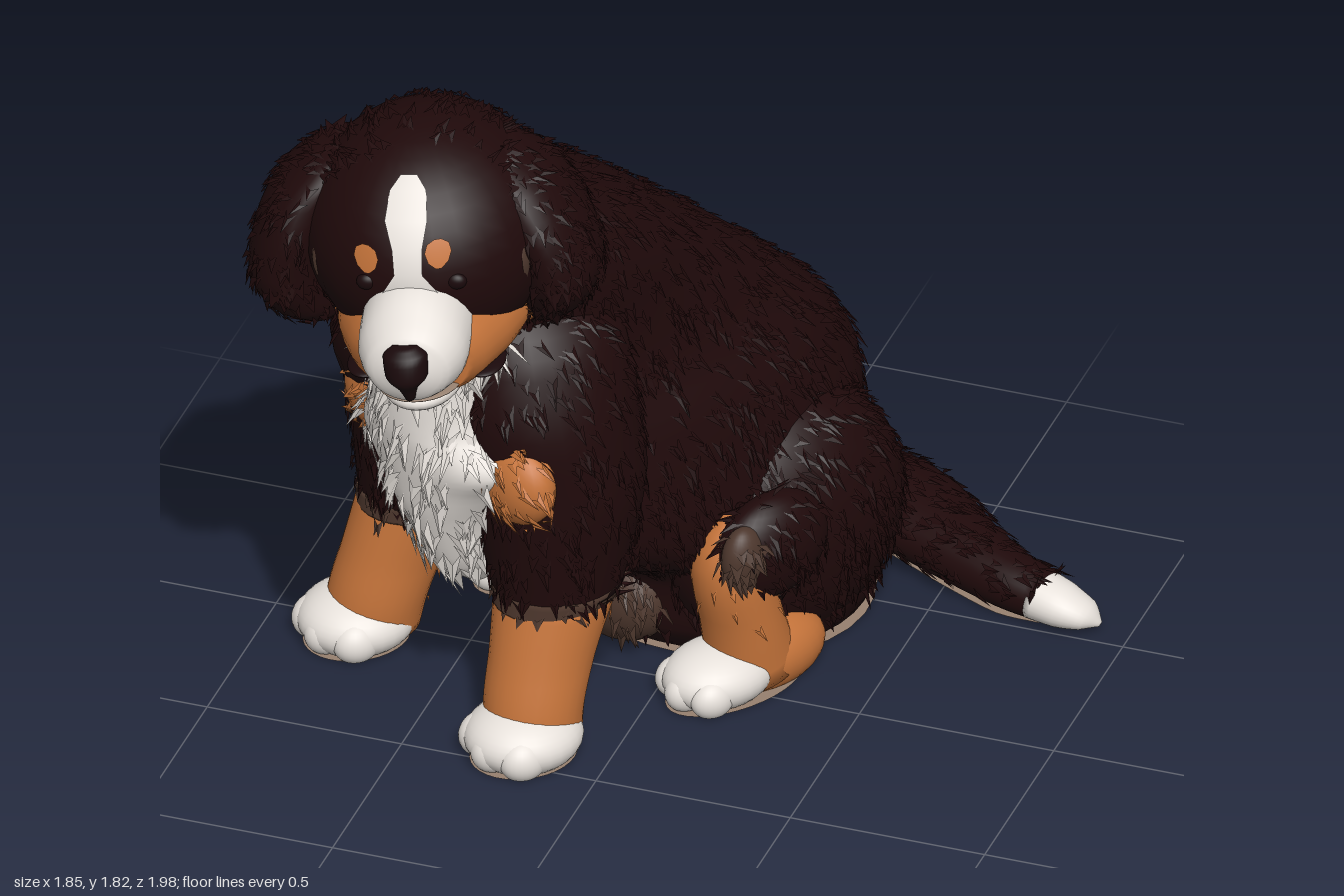
import * as THREE from 'three';

const mat = (name, color) => {
  const m = new THREE.MeshStandardMaterial({ color, side: THREE.DoubleSide });
  m.name = name;
  return m;
};
const DARK = mat('dark coat', 0x1f090a);
const TAN = mat('tan coat', 0xc4733a);
const WHITE = mat('white coat', 0xe8e2dc);
const BROWN = mat('brown undercoat', 0x4d372d);
const SOLE = mat('grey brown sole', 0x96806f);
const NOSE = mat('nose black', 0x1a090b);

let seed = 7;
const rnd = () => (seed = (seed * 16807) % 2147483647) / 2147483647;
const V = (x, y, z) => new THREE.Vector3(x, y, z);

function build(pos, idx) {
  const g = new THREE.BufferGeometry();
  g.setAttribute('position', new THREE.Float32BufferAttribute(pos, 3));
  if (idx) g.setIndex(idx);
  g.computeVertexNormals();
  return g;
}

// Smooth skin through rows of [x, y, z, sideRadius, otherRadius]
function loft(rows, side = V(1, 0, 0), level = false, n = 28) {
  const centre = new THREE.CatmullRomCurve3(rows.map(r => V(r[0], r[1], r[2])));
  const radii = new THREE.CatmullRomCurve3(rows.map(r => V(r[3], r[4], 0)));
  const steps = (rows.length - 1) * 4, pos = [], idx = [];
  for (let i = 0; i <= steps; i++) {
    const t = i / steps, c = centre.getPoint(t), r = radii.getPoint(t);
    const T = level ? V(0, 1, 0) : centre.getTangent(t);
    const S = side.clone().addScaledVector(T, -side.dot(T)).normalize();
    const U = S.clone().cross(T);
    for (let j = 0; j < n; j++) {
      const a = j / n * Math.PI * 2;
      const p = c.clone().addScaledVector(S, r.x * Math.cos(a)).addScaledVector(U, r.y * Math.sin(a));
      pos.push(p.x, p.y, p.z);
      const k = i * n + j, b = i * n + (j + 1) % n;
      if (i < steps) idx.push(k, k + n, b, b, k + n, b + n);
    }
  }
  const ends = [centre.getPoint(0), centre.getPoint(1)];
  ends.forEach(p => pos.push(p.x, p.y, p.z));
  const e = (steps + 1) * n;
  for (let j = 0; j < n; j++) {
    const k = (j + 1) % n, top = steps * n;
    idx.push(e, j, k, e + 1, top + k, top + j);
  }
  return build(pos, idx);
}

// Ellipsoid, optionally flattened where it meets the ground
function ball(c, r, ground = false) {
  const g = new THREE.SphereGeometry(1, 28, 20).scale(...r).translate(...c);
  if (ground) {
    const p = g.attributes.position;
    for (let i = 0; i < p.count; i++) p.setY(i, Math.max(0.002, p.getY(i)));
    g.computeVertexNormals();
  }
  return g;
}

// Flat disc facing the ground
const disc = (x, z, rx, rz) => new THREE.CircleGeometry(1, 32).rotateX(Math.PI / 2).scale(rx, 1, rz).translate(x, 0.001, z);

// Thin marking laid on the front of an ellipsoid; rows of [y, left, right]
function marking(c, r, rows) {
  const pos = [], idx = [], n = 8;
  rows.forEach(([y, l, h], i) => {
    for (let j = 0; j <= n; j++) {
      const x = l + (h - l) * j / n;
      const q = 1 - ((x - c[0]) / r[0]) ** 2 - ((y - c[1]) / r[1]) ** 2;
      pos.push(x, y, c[2] + r[2] * Math.sqrt(Math.max(0, q)) + 0.007);
      const a = i * (n + 1) + j;
      if (j < n && i < rows.length - 1) idx.push(a, a + n + 1, a + 1, a + 1, a + n + 1, a + n + 2);
    }
  });
  return build(pos, idx);
}

// Folded pointed locks scattered evenly over a surface
function locks(geo, count, len, width, keep, flow) {
  const g = geo.index ? geo.toNonIndexed() : geo, p = g.attributes.position;
  const tris = [], pos = [];
  let total = 0;
  for (let i = 0; i < p.count; i += 3) {
    const [a, b, c] = [0, 1, 2].map(k => V().fromBufferAttribute(p, i + k));
    const N = b.clone().sub(a).cross(c.clone().sub(a)), area = N.length();
    if (area < 1e-8) continue;
    total += area;
    tris.push({ a, b, c, N: N.normalize(), total });
  }
  for (let k = 0; k < count; k++) {
    const target = rnd() * total, t = tris.find(s => s.total >= target);
    let u = rnd(), v = rnd();
    if (u + v > 1) { u = 1 - u; v = 1 - v; }
    const q = t.a.clone().multiplyScalar(1 - u - v).addScaledVector(t.b, u).addScaledVector(t.c, v);
    if (!keep(q)) continue;
    const d = flow.clone().add(V(rnd() - 0.5, rnd() - 0.5, rnd() - 0.5).multiplyScalar(0.7));
    d.addScaledVector(t.N, -d.dot(t.N)).normalize();
    const s = d.clone().cross(t.N).multiplyScalar(width * (0.6 + rnd() * 0.4));
    const L = len * (0.7 + rnd() * 0.6);
    const tip = q.clone().addScaledVector(d, L).addScaledVector(t.N, L * 0.2);
    const mid = q.clone().addScaledVector(d, L * 0.3).addScaledVector(t.N, L * 0.13);
    const l = q.clone().sub(s), r = q.clone().add(s);
    for (const w of [l, mid, tip, mid, r, tip]) pos.push(w.x, w.y, w.z);
  }
  return build(pos);
}

function add(parent, name, geo, material, fur) {
  const m = new THREE.Mesh(geo, material);
  m.name = name;
  parent.add(m);
  if (fur) {
    const { n, len = 0.055, w = 0.02, keep = q => q.y > 0.07, flow = V(0, -1, -0.3) } = fur;
    add(parent, name + 'Fur', locks(geo, n, len, w, keep, flow), material);
  }
}

export function createModel() {
  seed = 7;
  const dog = new THREE.Group();
  dog.name = 'sittingPuppy';

  // Body sits turned away from the direction of the face
  const body = new THREE.Group();
  body.name = 'body';
  body.position.set(-0.234, 0, -0.135);
  body.rotation.y = -Math.PI / 6;
  dog.add(body);

  add(body, 'torso', loft([
    [-0.05, 0.004, -0.42, 0.42, 0.37], [-0.05, 0.08, -0.41, 0.45, 0.42], [-0.05, 0.25, -0.39, 0.45, 0.44],
    [-0.04, 0.36, -0.26, 0.44, 0.55], [-0.03, 0.46, -0.17, 0.42, 0.63], [-0.01, 0.6, -0.11, 0.38, 0.67],
    [0, 0.75, -0.06, 0.34, 0.63], [0, 0.9, 0.05, 0.29, 0.59], [0, 1.07, 0.15, 0.28, 0.50],
    [0, 1.2, 0.21, 0.29, 0.40], [0, 1.34, 0.30, 0.28, 0.32], [0, 1.48, 0.41, 0.24, 0.21],
    [0, 1.58, 0.46, 0.12, 0.11]], V(1, 0, 0), true, 40), DARK, { n: 3200 });

  // White chest
  add(body, 'bib', loft([
    [0.07, 0.37, 0.42, 0.02, 0.03], [0.07, 0.46, 0.45, 0.08, 0.11], [0.06, 0.62, 0.50, 0.13, 0.13],
    [0.05, 0.72, 0.52, 0.19, 0.13], [0.05, 0.8, 0.53, 0.24, 0.13], [0.04, 0.9, 0.55, 0.17, 0.12],
    [0.04, 1.08, 0.55, 0.16, 0.11], [0.08, 1.24, 0.51, 0.19, 0.12]], V(1, 0, 0), true), WHITE,
  { n: 400, len: 0.09, w: 0.026, keep: q => q.z > 0.5, flow: V(0, -1, 0) });

  for (const s of [-1, 1]) {
    const side = s > 0 ? 'left' : 'right';
    // Front leg, the right one set a little further back
    const dz = s > 0 ? -0.02 : -0.06, lx = x => s * x - 0.03;
    add(body, side + 'Shoulder', loft([
      [lx(0.275), 0.4, 0.34 + dz, 0.15, 0.165], [lx(0.26), 0.5, 0.33 + dz, 0.18, 0.19],
      [lx(0.24), 0.7, 0.32 + dz, 0.22, 0.23], [lx(0.22), 0.9, 0.32, 0.22, 0.24],
      [lx(0.18), 1.1, 0.31, 0.19, 0.22], [lx(0.13), 1.24, 0.31, 0.08, 0.1]],
    V(1, 0, 0), true), DARK, { n: 700, keep: q => q.z < 0.42 || q.y < 0.68 || q.y > 0.95 });
    add(body, side + 'LegBand', loft([
      [lx(0.278), 0.37, 0.354 + dz, 0.142, 0.157], [lx(0.275), 0.42, 0.34 + dz, 0.154, 0.168]], V(1, 0, 0), true),
    BROWN, { n: 70, len: 0.04 });
    add(body, side + 'ForeLeg', loft([
      [lx(0.325), 0.03, 0.46 + dz, 0.115, 0.12], [lx(0.315), 0.12, 0.45 + dz, 0.122, 0.125],
      [lx(0.3), 0.24, 0.41 + dz, 0.125, 0.135], [lx(0.275), 0.41, 0.34 + dz, 0.147, 0.16]], V(1, 0, 0), true), TAN,
    { n: 50, w: 0.014, keep: q => q.z < 0.34 && q.y > 0.1 });
    add(body, side + 'ForePaw', ball([lx(0.335), 0.055, 0.5 + dz], [0.142, 0.085, 0.15], true), WHITE);
    // Chest spot
    add(body, side + 'ChestSpot', ball([0.02 + s * 0.26, 0.77, s > 0 ? 0.48 : 0.46], [0.12, 0.115, 0.075]), TAN,
      { n: 90, len: 0.06, keep: q => q.z > 0.46, flow: V(s, -0.8, 0) });
    // Hind leg: dark on the outside of the knee, tan in front
    const hx = s * 0.36 + 0.04;
    const hc = s > 0 ? [0.25, 0.31, -0.39] : [-0.32, 0.31, -0.4];
    add(body, side + 'Haunch', ball(hc, [0.215, 0.34, 0.345], true), DARK, { n: 800 });
    add(body, side + 'Shin', loft([
      [hx, 0.03, -0.17, 0.105, 0.12], [hx, 0.2, -0.13, 0.105, 0.1],
      [hx, 0.36, -0.1, 0.1, 0.1], [hx - s * 0.02, 0.47, -0.14, 0.04, 0.05]]), TAN,
    { n: 40, len: 0.045, w: 0.014, keep: q => q.y > 0.2 });
    add(body, side + 'Knee', ball([hx + s * 0.045, 0.39, -0.19], [0.085, 0.14, 0.165]), DARK, { n: 120 });
    add(body, side + 'KneeFur', ball([hx + s * 0.075, 0.41, -0.075], [0.045, 0.085, 0.06]), BROWN, { n: 40 });
    add(body, side + 'Hock', ball([hx, 0.06, -0.2], [0.105, 0.1, 0.18], true), TAN);
    add(body, side + 'HindPaw', ball([hx, 0.055, -0.06], [0.12, 0.08, 0.15], true), WHITE);
    // Toes and pads
    for (const k of [-1, 0, 1]) {
      const z = k ? 0 : 0.025;
      add(body, side + 'ForeToe', ball([lx(0.335) + k * 0.075, 0.045, 0.565 + z + dz], [0.055, 0.058, 0.065], true), WHITE);
      add(body, side + 'HindToe', ball([hx + k * 0.065, 0.042, 0.015 + z], [0.048, 0.053, 0.06], true), WHITE);
    }
    add(body, side + 'ForePad', disc(lx(0.335), 0.5 + dz, 0.12, 0.14), SOLE);
    add(body, side + 'HindPad', disc(hx, -0.11, 0.11, 0.2), SOLE);
  }
  add(body, 'bellyFur', ball([0.02, 0.14, -0.06], [0.18, 0.15, 0.12], true), BROWN, { n: 160 });
  add(body, 'underside', disc(-0.05, -0.41, 0.45, 0.38), SOLE);

  // Tail curls round to the left along the ground
  const flat = V(0, 1, 0);
  add(dog, 'tail', loft([
    [0.14, 0.11, -0.84, 0.105, 0.14], [0.33, 0.095, -0.79, 0.09, 0.145], [0.53, 0.083, -0.67, 0.08, 0.105],
    [0.68, 0.073, -0.59, 0.07, 0.08], [0.78, 0.065, -0.56, 0.062, 0.07]], flat), DARK,
  { n: 520, len: 0.05, keep: q => q.y > 0.04, flow: V(1, 0, 0.5) });
  add(dog, 'tailTip', loft([
    [0.76, 0.065, -0.565, 0.063, 0.072], [0.83, 0.055, -0.55, 0.053, 0.068], [0.89, 0.038, -0.55, 0.034, 0.05],
    [0.925, 0.02, -0.55, 0.006, 0.008]], flat), WHITE);
  add(dog, 'tailSole', loft([
    [0.2, 0.003, -0.82, 0.002, 0.08], [0.33, 0.003, -0.79, 0.002, 0.08], [0.53, 0.003, -0.67, 0.002, 0.065],
    [0.68, 0.003, -0.59, 0.002, 0.055], [0.78, 0.003, -0.56, 0.002, 0.03]], flat), SOLE);

  // Head
  const head = new THREE.Group();
  head.name = 'head';
  head.position.set(-0.44, 1.475, 0.42);
  head.rotation.set(0, 0.19, 0.1);
  dog.add(head);
  const sc = [0, 0.03, 0.06], sr = [0.31, 0.3, 0.335];
  add(head, 'skull', ball(sc, sr), DARK, { n: 800, len: 0.05, keep: q => q.z < 0.2, flow: V(0, -0.6, -1) });
  add(head, 'blaze', marking(sc, sr, [[0.28, -0.02, 0.02], [0.255, -0.045, 0.045], [0.2, -0.055, 0.05],
    [0.14, -0.037, 0.037], [0.08, -0.035, 0.035], [0.02, -0.075, 0.075], [-0.06, -0.13, 0.13]]), WHITE);
  add(head, 'muzzle', loft([
    [0, -0.1, 0.25, 0.14, 0.15], [0, -0.095, 0.36, 0.138, 0.15], [0, -0.105, 0.45, 0.132, 0.125],
    [0, -0.11, 0.52, 0.1, 0.09], [0, -0.11, 0.55, 0.03, 0.03]]), WHITE);
  add(head, 'cheeks', loft([
    [0, -0.19, 0.04, 0.2, 0.09], [0, -0.17, 0.14, 0.235, 0.125], [0, -0.155, 0.25, 0.215, 0.135],
    [0, -0.15, 0.35, 0.175, 0.13], [0, -0.15, 0.42, 0.13, 0.105]]), TAN,
  { n: 90, len: 0.05, w: 0.014, keep: q => q.z < 0.2, flow: V(0, -0.6, -1) });
  add(head, 'mouth', ball([0, -0.215, 0.39], [0.105, 0.012, 0.11]), SOLE);
  add(head, 'jaw', ball([0, -0.235, 0.35], [0.1, 0.045, 0.14]), WHITE);
  add(head, 'throat', ball([0, -0.28, 0.14], [0.16, 0.08, 0.12]), WHITE,
    { n: 130, len: 0.085, w: 0.025, keep: () => true, flow: V(0, -1, 0) });
  add(head, 'nose', loft([
    [0, -0.185, 0.525, 0.012, 0.02], [0, -0.145, 0.535, 0.025, 0.035], [0, -0.11, 0.54, 0.052, 0.05],
    [0, -0.06, 0.535, 0.055, 0.045], [0, -0.035, 0.525, 0.03, 0.025]], V(1, 0, 0), true), NOSE);
  for (const s of [-1, 1]) {
    const side = s > 0 ? 'left' : 'right';
    add(head, side + 'Lip', ball([s * 0.145, -0.225, 0.29], [0.05, 0.014, 0.08]), NOSE);
    add(head, side + 'Brow', marking(sc, sr, [0.153, 0.143, 0.123, 0.1, 0.085].map((y, i) => {
      const h = [0.008, 0.026, 0.032, 0.024, 0.006][i], x = s * 0.09 - 0.015;
      return [y + s * 0.008, x - h, x + h];
    })), TAN);
    add(head, side + 'Eye', ball([s * 0.11, 0.045, 0.362], [0.026, 0.022, 0.018]), NOSE);
    // Ear hangs outward and forward
    const ex = x => s * x - 0.02;
    add(head, side + 'Ear', loft([
      [ex(0.28), -0.22, 0.06, 0.05, 0.06], [ex(0.31), -0.17, 0.06, 0.085, 0.12], [ex(0.335), -0.07, 0.065, 0.1, 0.17],
      [ex(0.31), 0.05, 0.06, 0.1, 0.175], [ex(0.255), 0.17, 0.05, 0.09, 0.15], [ex(0.18), 0.25, 0.04, 0.06, 0.08]],
    V(1, 0, 0), true), DARK, { n: 400, len: 0.045, keep: () => true, flow: V(s * 0.1, -1, -0.2) });
    // Brown streak in front of the ear
    add(head, side + 'EarStreak', loft([
      [s * 0.245, -0.06, 0.215, 0.008, 0.01], [s * 0.25, 0.03, 0.225, 0.018, 0.025], [s * 0.235, 0.13, 0.205, 0.008, 0.01]],
    V(1, 0, 0), true, 10), BROWN);
  }
  return dog;
}
